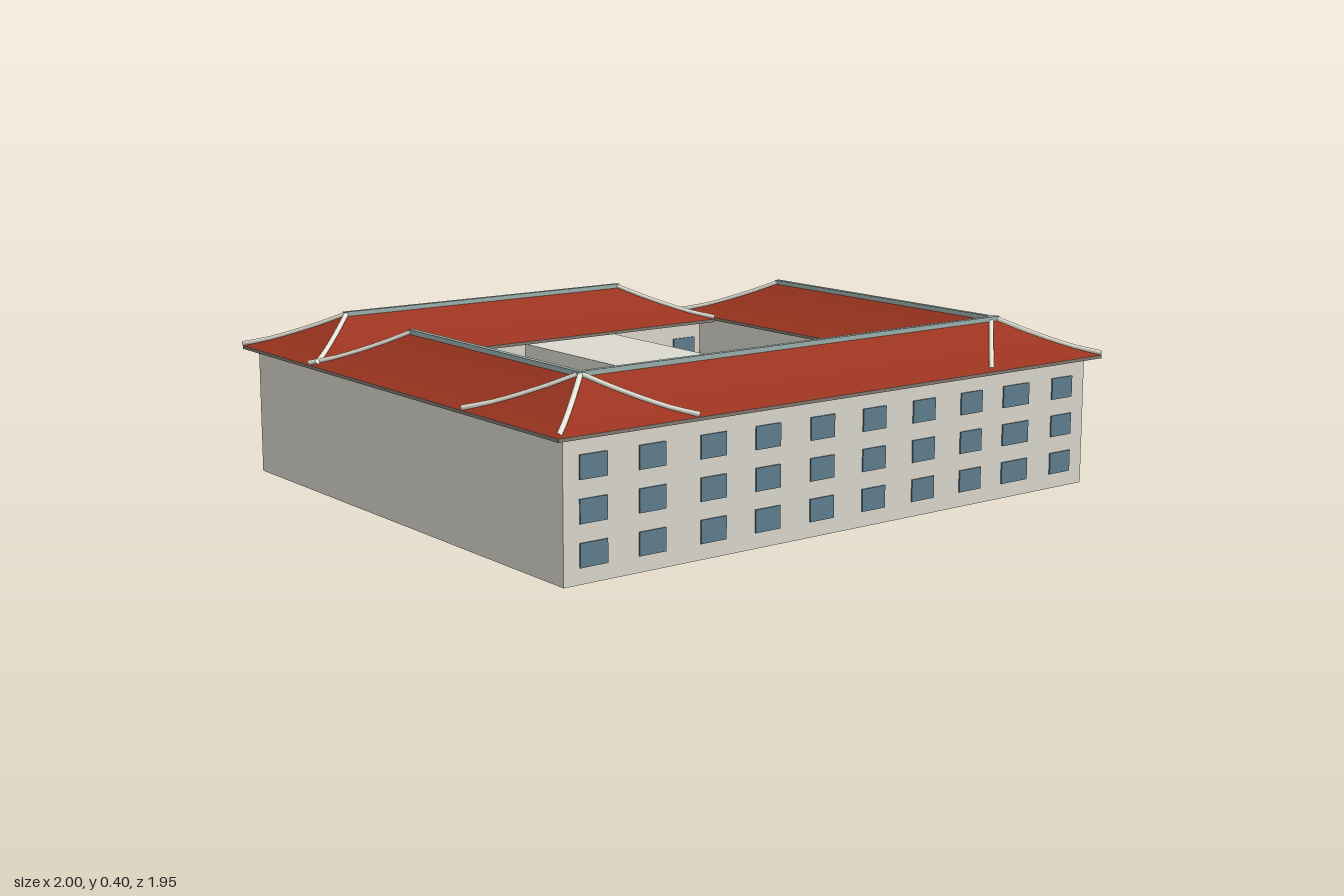
import * as THREE from 'three';

const mat = (name, color, side = THREE.FrontSide) => {
  const m = new THREE.MeshStandardMaterial({ color, side });
  m.name = name;
  return m;
};

export function createModel() {
  const model = new THREE.Group();
  const M = {
    wall: mat('plaster', 0xdcd9ce, THREE.DoubleSide),
    roof: mat('redTile', 0x9c3420, THREE.DoubleSide),
    ridge: mat('ridgeTile', 0x9db3af),
    hip: mat('hipTile', 0xf2eee2),
    eave: mat('eaveTrim', 0x857b72),
    glass: mat('windowGlass', 0x5f7f90),
    stone: mat('stepStone', 0x807b73),
    base: mat('porchStone', 0x68625a),
    grass: mat('pondGreen', 0x437862, THREE.DoubleSide),
    rock: mat('rock', 0x68635d),
  };

  const add = (name, geo, material, x = 0, y = 0, z = 0, parent = model) => {
    const mesh = new THREE.Mesh(geo, material);
    mesh.name = name;
    mesh.position.set(x, y, z);
    parent.add(mesh);
    return mesh;
  };
  // Box given by its limits
  const block = (name, m, x0, x1, y0, y1, z0, z1, parent) =>
    add(name, new THREE.BoxGeometry(x1 - x0, y1 - y0, z1 - z0), m,
      (x0 + x1) / 2, (y0 + y1) / 2, (z0 + z1) / 2, parent);

  // Four walls without floor or ceiling
  const walls = (name, x0, x1, z0, z1, y0, y1) => {
    const pos = [], idx = [];
    const c = [[x0, z1], [x1, z1], [x1, z0], [x0, z0]];
    c.forEach(([x, z], i) => {
      const [u, w] = c[(i + 1) % 4], b = i * 4;
      pos.push(x, y0, z, u, y0, w, u, y1, w, x, y1, z);
      idx.push(b, b + 1, b + 2, b, b + 2, b + 3);
    });
    const g = new THREE.BufferGeometry();
    g.setAttribute('position', new THREE.Float32BufferAttribute(pos, 3));
    g.setIndex(idx);
    g.computeVertexNormals();
    add(name, g, M.wall);
  };

  // Slightly concave hipped roof with ridge, hip tiles and eave trim
  const hipRoof = (name, x0, x1, z0, z1, y0, rise, over) => {
    const grp = new THREE.Group();
    grp.name = name;
    model.add(grp);
    const run = Math.min(x1 - x0, z1 - z0) / 2, N = 4, pos = [], idx = [];
    const corner = (t, k) => {
      const d = run * t, y = y0 + rise * (0.72 * t + 0.28 * t * t);
      return new THREE.Vector3(k === 0 || k === 3 ? x0 + d : x1 - d, y, k < 2 ? z1 - d : z0 + d);
    };
    for (let i = 0; i <= N; i++) for (let k = 0; k < 4; k++) pos.push(...corner(i / N, k).toArray());
    for (let i = 0; i < N; i++) for (let k = 0; k < 4; k++) {
      const a = i * 4 + k, b = i * 4 + (k + 1) % 4;
      idx.push(a, b, b + 4, a, b + 4, a + 4);
    }
    const g = new THREE.BufferGeometry();
    g.setAttribute('position', new THREE.Float32BufferAttribute(pos, 3));
    g.setIndex(idx);
    const flat = g.toNonIndexed();
    flat.computeVertexNormals();
    add('roofSlopes', flat, M.roof, 0, 0, 0, grp);
    // hip tiles along the four corners
    for (let k = 0; k < 4; k++) {
      const pts = [0, 0.25, 0.5, 0.75, 1].map(t => corner(t, k));
      pts.forEach(p => { p.y += 0.002; });
      pts[0].y += 0.003;
      add('hipTiles', new THREE.TubeGeometry(new THREE.CatmullRomCurve3(pts), 8, 0.0055, 16), M.hip, 0, 0, 0, grp);
    }
    // ridge
    const a = corner(1, 0), b = corner(1, 2), y = y0 + rise, r = 0.006;
    block('ridge', M.ridge, a.x - r, b.x + r, y - 0.004, y + 0.007, Math.min(a.z, b.z) - r, Math.max(a.z, b.z) + r, grp);
    // eave trim frame
    const rect = (P, d) => {
      const p = new P();
      p.moveTo(x0 + d, z0 + d); p.lineTo(x1 - d, z0 + d);
      p.lineTo(x1 - d, z1 - d); p.lineTo(x0 + d, z1 - d); p.closePath();
      return p;
    };
    const s = rect(THREE.Shape, 0);
    s.holes.push(rect(THREE.Path, over));
    const e = new THREE.ExtrudeGeometry(s, { depth: 0.007, bevelEnabled: false });
    e.rotateX(Math.PI / 2);
    add('eaveTrim', e, M.eave, 0, y0 - 0.0005, 0, grp);
  };

  // Four wings round a courtyard: roof limits, then back wall line
  const o = 0.027;
  const wings = [
    ['frontWing', -1, 0.475, 0.63, 0.965, 0.657],
    ['rightWing', -1, -0.67, 0, 0.965, 0.003],
    ['leftWing', 0.125, 0.475, -0.125, 0.965, -0.098],
    ['backWing', -1, 0.11, -0.32, 0.03, -0.293],
  ];
  for (const [n, x0, x1, z0, z1, zBack] of wings) {
    walls(n + 'Walls', x0 + o, x1 - o, zBack, z1 - o, 0.017, 0.31);
    hipRoof(n + 'Roof', x0, x1, z0, z1, 0.311, 0.077, o);
  }

  // Covered passage across the courtyard
  walls('passageWalls', -0.435, -0.185, 0.003, 0.657, 0.017, 0.296);
  block('passageRoof', M.wall, -0.435, -0.185, 0.292, 0.3, 0.003, 0.657);

  // Windows in three rows
  const frontCols = [-0.904, -0.765, -0.616, -0.477, -0.333, -0.19, -0.048, 0.093, 0.23, 0.376];
  const backCols = Array.from({ length: 8 }, (_, i) => -0.905 + i * 0.134);
  const windows = (name, cols, z) => {
    const grp = new THREE.Group();
    grp.name = name;
    model.add(grp);
    for (const x of cols) for (const y of [0.074, 0.159, 0.244]) {
      const w = x === 0.23 ? 0.08 : 0.064;
      add('window', new THREE.BoxGeometry(w, 0.048, 0.006), M.glass, x, y, z, grp);
    }
  };
  windows('frontWindows', frontCols, 0.938);
  windows('frontCourtWindows', frontCols, 0.657);
  windows('backCourtWindows', backCols, 0.003);
  windows('backWindows', backCols, -0.293);

  // Entrance porch at the back corner
  block('porchBase', M.base, 0.087, 0.41, 0.018, 0.05, -0.34, -0.1);
  hipRoof('porchRoof', 0.06, 0.44, -0.37, -0.08, 0.208, 0.078, 0.03);
  for (const [x, z] of [[0.105, -0.325], [0.395, -0.325], [0.395, -0.115]])
    add('porchColumn', new THREE.CylinderGeometry(0.011, 0.011, 0.156, 16), M.hip, x, 0.127, z);
  const wedge = (len, width) => {
    const s = new THREE.Shape();
    s.moveTo(0, 0); s.lineTo(len, 0); s.lineTo(0, 0.03); s.closePath();
    return new THREE.ExtrudeGeometry(s, { depth: width, bevelEnabled: false });
  };
  add('entranceSteps', wedge(0.058, 0.3), M.stone, 0.1, 0.019, -0.34).rotation.y = Math.PI / 2;
  add('sideRamp', wedge(0.145, 0.055), M.stone, 0.09, 0.019, -0.293).rotation.y = Math.PI;

  // Garden pond surface with a thin raised rim
  const outline = [[0.3, -0.935], [0.42, -0.935], [0.42, -0.885], [0.71, -0.885], [0.71, -0.965],
    [0.985, -0.965], [0.975, -0.405], [0.355, -0.415], [0.355, -0.72], [0.3, -0.76]];
  const pond = new THREE.ShapeGeometry(new THREE.Shape(outline.map(([x, z]) => new THREE.Vector2(x, -z))));
  pond.rotateX(-Math.PI / 2);
  add('pond', pond, M.grass, 0, 0.004, 0);
  outline.forEach(([x, z], i) => {
    const [u, w] = outline[(i + 1) % outline.length];
    const rim = add('pondRim', new THREE.BoxGeometry(Math.hypot(u - x, w - z), 0.002, 0.008), M.rock,
      (x + u) / 2, 0.016, (z + w) / 2);
    rim.rotation.y = -Math.atan2(w - z, u - x);
  });
  add('roundPlatform', new THREE.CylinderGeometry(0.046, 0.046, 0.026, 24), M.stone, 0.41, 0.013, -0.67);
  block('standingStone', M.rock, 0.3, 0.33, 0.01, 0.083, -0.91, -0.875);

  // Rocks: x, z, radius, height
  const rocks = [
    [0.32, -0.93, 0.015, 0.01], [0.41, -0.93, 0.015, 0.01], [0.5, -0.885, 0.016, 0.01], [0.66, -0.88, 0.015, 0.01],
    [0.71, -0.92, 0.015, 0.01], [0.78, -0.963, 0.019, 0.01], [0.92, -0.963, 0.015, 0.01], [0.98, -0.95, 0.017, 0.012],
    [0.98, -0.8, 0.016, 0.01], [0.978, -0.69, 0.012, 0.01], [0.976, -0.57, 0.019, 0.01], [0.97, -0.47, 0.02, 0.01],
    [0.9, -0.41, 0.015, 0.008], [0.79, -0.41, 0.016, 0.008], [0.66, -0.412, 0.012, 0.008], [0.55, -0.415, 0.017, 0.008],
    [0.42, -0.415, 0.015, 0.008], [0.36, -0.47, 0.016, 0.01],
    [0.31, -0.84, 0.024, 0.018], [0.315, -0.81, 0.02, 0.022], [0.3, -0.77, 0.016, 0.013], [0.34, -0.73, 0.022, 0.05],
    [0.35, -0.71, 0.018, 0.028], [0.335, -0.62, 0.032, 0.028], [0.36, -0.64, 0.023, 0.032], [0.38, -0.57, 0.026, 0.022],
    [0.355, -0.59, 0.02, 0.03], [0.44, -0.6, 0.02, 0.018],
  ];
  rocks.forEach(([x, z, r, h], i) => {
    const m = add('rock', new THREE.DodecahedronGeometry(1, 0), M.rock, x, 0.011 + h * 0.4, z);
    m.scale.set(r, h * 0.6, r * 0.75);
    m.rotation.y = i * 1.3;
  });

  return model;
}
